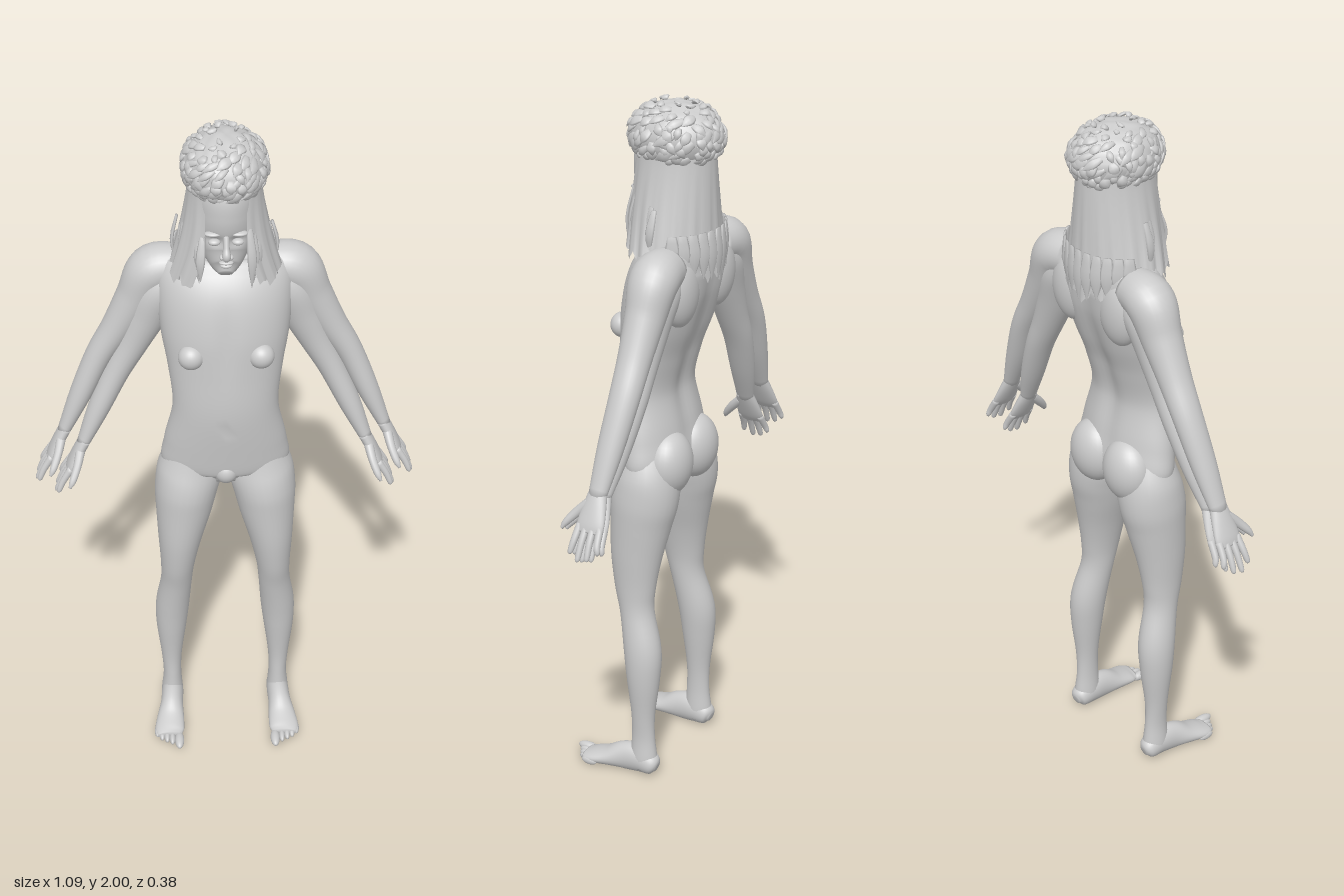
import * as THREE from 'three';
import { mergeGeometries } from 'three/addons/utils/BufferGeometryUtils.js';

const V = (x, y, z) => new THREE.Vector3(x, y, z);
const Z = V(0, 0, 1), Y = V(0, 1, 0);
const skin = new THREE.MeshStandardMaterial({ color: 0xcccccc });
const hairMat = new THREE.MeshStandardMaterial({ color: 0xcccccc, side: THREE.DoubleSide });

let seed = 7;
const rnd = () => (seed = (seed * 16807) % 2147483647) / 2147483647;

// Closed smooth limb. Rows are [x, y, z, radius along the hint axis, radius across it].
function loft(rows, hint = Z, rings = 40, sides = 28) {
  const path = new THREE.CatmullRomCurve3(rows.map(r => V(r[0], r[1], r[2])), false, 'catmullrom');
  const radii = new THREE.CatmullRomCurve3(rows.map(r => V(r[3], r[4], 0)), false, 'catmullrom');
  const pos = [], index = [];
  for (let i = -1; i <= rings + 1; i++) {
    const t = Math.min(1, Math.max(0, i / rings));
    const c = path.getPoint(t), T = path.getTangent(t), r = radii.getPoint(t);
    const v = hint.clone().cross(T).normalize(), u = T.clone().cross(v);
    const k = i < 0 || i > rings ? 0 : 1;
    for (let j = 0; j < sides; j++) {
      const a = j / sides * Math.PI * 2;
      const p = c.clone().addScaledVector(v, Math.cos(a) * r.y * k).addScaledVector(u, Math.sin(a) * r.x * k);
      pos.push(p.x, p.y, p.z);
    }
  }
  for (let i = 0; i < rings + 2; i++) for (let j = 0; j < sides; j++) {
    const a = i * sides + j, b = i * sides + (j + 1) % sides;
    index.push(a, b, a + sides, b, b + sides, a + sides);
  }
  const g = new THREE.BufferGeometry();
  g.setAttribute('position', new THREE.Float32BufferAttribute(pos, 3));
  g.setIndex(index);
  g.computeVertexNormals();
  return g;
}

// Move every vertex by a rule
function reshape(g, rule) {
  const p = g.attributes.position, v = V(0, 0, 0);
  for (let i = 0; i < p.count; i++) {
    rule(v.fromBufferAttribute(p, i));
    p.setXYZ(i, v.x, v.y, v.z);
  }
  g.computeVertexNormals();
  return g;
}

const bump = (d, w) => Math.exp(-d * d / (w * w));

export function createModel() {
  const model = new THREE.Group();
  const add = (name, geo, mat = skin) => {
    const m = new THREE.Mesh(geo, mat);
    m.name = name;
    model.add(m);
    return m;
  };
  const ball = (name, x, y, z, rx, ry, rz) => {
    const m = add(name, new THREE.SphereGeometry(1, 28, 20));
    m.position.set(x, y, z);
    m.scale.set(rx, ry, rz);
    return m;
  };

  // Torso with a spine groove and a chest line
  add('torso', reshape(loft([
    [0, 0.91, -0.02, 0.05, 0.08], [0, 0.96, -0.025, 0.085, 0.175], [0, 1.05, -0.012, 0.088, 0.172],
    [0, 1.18, 0.004, 0.086, 0.147], [0, 1.3, -0.01, 0.097, 0.158], [0, 1.4, -0.03, 0.112, 0.175],
    [0, 1.5, -0.055, 0.115, 0.185], [0, 1.57, -0.08, 0.1, 0.185], [0, 1.61, -0.095, 0.078, 0.155],
    [0, 1.64, -0.095, 0.06, 0.085], [0, 1.67, -0.09, 0.052, 0.058]], Z, 70, 56), v => {
    if (v.z < -0.05) v.z += 0.016 * bump(v.x, 0.035) * bump(v.y - 1.3, 0.3);
    if (v.z > 0) {
      v.z -= 0.007 * bump(v.x, 0.025) * bump(v.y - 1.42, 0.1);
      v.z -= 0.006 * bump(v.x, 0.01) * bump(v.y - 1.13, 0.012);
    }
  }));
  add('neck', loft([[0, 1.55, -0.09, 0.06, 0.075], [0, 1.65, -0.075, 0.055, 0.056], [0, 1.72, -0.06, 0.055, 0.055]]));
  ball('pelvis', 0, 0.965, 0.035, 0.036, 0.04, 0.04);

  for (const s of [1, -1]) {
    const side = s > 0 ? 'left' : 'right';
    ball(side + 'Chest', s * 0.095, 1.37, 0.058, 0.036, 0.036, 0.034);
    ball(side + 'Buttock', s * 0.072, 0.975, -0.075, 0.08, 0.095, 0.065);
    ball(side + 'ShoulderBlade', s * 0.1, 1.5, -0.125, 0.07, 0.1, 0.045);

    // Leg
    add(side + 'Leg', loft([
      [0.09, 1.02, -0.02, 0.065, 0.07], [0.1, 0.94, -0.025, 0.09, 0.092], [0.112, 0.87, -0.02, 0.098, 0.09],
      [0.12, 0.8, -0.013, 0.09, 0.081], [0.132, 0.7, -0.005, 0.077, 0.064], [0.14, 0.6, -0.005, 0.062, 0.05],
      [0.145, 0.52, -0.014, 0.051, 0.046], [0.157, 0.41, -0.038, 0.056, 0.05], [0.162, 0.32, -0.043, 0.05, 0.045],
      [0.163, 0.2, -0.043, 0.036, 0.031], [0.162, 0.12, -0.043, 0.036, 0.027], [0.163, 0.05, -0.045, 0.042, 0.032],
      [0.163, 0.02, -0.045, 0.038, 0.028]].map(([x, ...r]) => [s * x, ...r]), Z, 60));
    ball(side + 'Kneecap', s * 0.144, 0.535, 0.016, 0.028, 0.035, 0.022);

    // Foot, flattened on the ground, and toes
    add(side + 'Foot', reshape(loft([
      [0.162, 0.03, -0.09, 0.014, 0.014], [0.163, 0.035, -0.075, 0.033, 0.03], [0.163, 0.045, -0.03, 0.045, 0.033],
      [0.166, 0.04, 0.02, 0.043, 0.034], [0.171, 0.028, 0.07, 0.028, 0.041], [0.175, 0.02, 0.115, 0.019, 0.044],
      [0.174, 0.018, 0.14, 0.012, 0.036]].map(([x, ...r]) => [s * x, ...r]), Y), v => { v.y = Math.max(v.y, 0); }));
    for (let i = 0; i < 5; i++)
      ball(side + 'Toe' + (i + 1), s * (0.146 + [0, 0.021, 0.037, 0.052, 0.066][i]), 0.014, 0.157 - 0.009 * i - (i > 3 ? 0.006 : 0),
        i ? 0.009 : 0.014, i ? 0.012 : 0.014, i ? 0.025 : 0.034);

    // Two overlapping arms on each side, sharing one shoulder
    const arms = {
      Outer: [[0.12, 1.57, -0.095], [0.195, 1.555, -0.1], [0.24, 1.47, -0.1], [0.295, 1.37, -0.1],
        [0.35, 1.275, -0.1], [0.405, 1.15, -0.09], [0.457, 1.03, -0.08]],
      Inner: [[0.12, 1.55, -0.09], [0.175, 1.5, -0.09], [0.215, 1.41, -0.09], [0.255, 1.32, -0.09],
        [0.3, 1.23, -0.088], [0.355, 1.11, -0.075], [0.403, 1.0, -0.06]],
    };
    const thick = [[0.06, 0.06], [0.068, 0.066], [0.056, 0.056], [0.047, 0.044], [0.043, 0.037], [0.037, 0.031], [0.026, 0.018]];
    for (const [kind, pts] of Object.entries(arms)) {
      const name = side + kind;
      add(name + 'Arm', loft(pts.map(([x, y, z], i) => [s * x, y, z, ...thick[i]])));
      // Points along the hand: distance down, sideways shift, forward shift
      const [wx, wy, wz] = pts[6], d = V(s * 0.45, -0.89, 0), n = V(s * 0.89, 0.45, 0);
      const at = (l, o, f) => V(s * wx, wy, wz).addScaledVector(d, l).addScaledVector(n, o).add(V(0, 0, f));
      const row = (l, o, f, ru, rv) => [...at(l, o, f).toArray(), ru, rv];
      add(name + 'Palm', loft([row(-0.015, 0, 0, 0.026, 0.018), row(0.03, 0, 0, 0.035, 0.017),
        row(0.075, 0, 0, 0.041, 0.014), row(0.1, 0, 0, 0.036, 0.009)], Z, 20));
      for (let i = 0; i < 4; i++) {
        const f = 0.031 - 0.0205 * i, len = [0.165, 0.18, 0.174, 0.152][i];
        add(name + 'Finger' + (i + 1), loft([row(0.08, 0, f, 0.0105, 0.0105), row(0.125, 0.004, f * 1.15, 0.0095, 0.0095),
          row(len - 0.008, 0.002, f * 1.3, 0.0075, 0.0075), row(len, 0, f * 1.3, 0.003, 0.003)], Z, 14, 12));
      }
      add(name + 'Thumb', loft([row(0.015, 0, 0.015, 0.014, 0.014), row(0.05, -0.006, 0.05, 0.0135, 0.012),
        row(0.085, -0.008, 0.078, 0.01, 0.01), row(0.105, -0.008, 0.088, 0.004, 0.004)], Z, 14, 12));
    }

    // Face parts in pairs
    ball(side + 'Eye', s * 0.031, 1.728, 0.05, 0.016, 0.009, 0.012);
    ball(side + 'Brow', s * 0.033, 1.752, 0.047, 0.024, 0.007, 0.014);
    ball(side + 'Nostril', s * 0.011, 1.692, 0.068, 0.008, 0.007, 0.01);
    ball(side + 'Ear', s * 0.084, 1.72, -0.045, 0.008, 0.03, 0.018);
  }

  // Head with eye sockets
  add('head', reshape(loft([
    [0, 1.617, 0.03, 0.016, 0.018], [0, 1.635, 0.01, 0.05, 0.042], [0, 1.67, -0.015, 0.075, 0.064],
    [0, 1.72, -0.035, 0.095, 0.08], [0, 1.79, -0.045, 0.112, 0.086], [0, 1.86, -0.05, 0.108, 0.083],
    [0, 1.92, -0.055, 0.06, 0.05]], Z, 60, 56), v => {
    if (v.z > 0) v.z -= 0.011 * bump(Math.abs(v.x) - 0.032, 0.018) * bump(v.y - 1.728, 0.016);
  }));
  add('nose', loft([[0, 1.748, 0.052, 0.008, 0.008], [0, 1.715, 0.064, 0.012, 0.009],
    [0, 1.696, 0.073, 0.014, 0.012], [0, 1.686, 0.066, 0.006, 0.007]], Z, 20, 16));
  ball('upperLip', 0, 1.668, 0.056, 0.019, 0.005, 0.01);
  ball('lowerLip', 0, 1.658, 0.055, 0.016, 0.006, 0.01);

  // Long hair: an open wavy sheet that leaves the face free
  const rows = 20, cols = 72;
  const curtain = new THREE.PlaneGeometry(1, 1, cols, rows);
  add('longHair', reshape(curtain, v => {
    const q = v.x * 2, t = 0.5 - v.y;
    const a = q * (Math.PI - 0.62 + 0.12 * Math.sin(t * Math.PI)), back = 1 - Math.abs(q);
    const drop = 0.27 + 0.07 * back * back + 0.012 * Math.sin(q * 41) + 0.008 * Math.sin(q * 97);
    const wave = 1 + 0.025 * t * Math.sin(q * 43) + 0.015 * t * Math.sin(q * 71);
    v.set(-Math.sin(a) * (0.097 + 0.056 * Math.pow(t, 1.3)) * wave, 1.86 - drop * t,
      -0.055 - Math.cos(a) * (0.11 + 0.016 * t) * wave);
  }), hairMat);

  // Pointed lock of hair from a to b, flat against the normal
  const lock = (a, b, normal, w, lift) => {
    const m = a.clone().lerp(b, 0.5).addScaledVector(normal, lift);
    return loft([[...a.toArray(), 0.004, w * 0.6], [...m.toArray(), 0.005, w], [...b.toArray(), 0.0005, 0.001]], normal, 6, 8);
  };

  // Loose locks beside the cheeks and along the lower edge
  const strands = [];
  for (const s of [1, -1]) for (let i = 0; i < 9; i++) {
    const k = i / 8, x = s * (0.066 + 0.07 * k), z = 0.04 - 0.1 * k;
    strands.push(lock(V(x * 0.93, 1.76 - 0.04 * rnd(), z), V(x * (0.8 + 0.25 * rnd()), 1.575 + 0.035 * rnd(), z + 0.012),
      V(s * (0.3 + k), 0, 1 - k).normalize(), 0.013, 0.012));
  }
  for (let i = 0; i < 11; i++) {
    const a = (i / 10 - 0.5) * 2.2, n = V(Math.sin(a), 0, -Math.cos(a));
    strands.push(lock(V(n.x * 0.145, 1.66, -0.06 + n.z * 0.123), V(n.x * 0.14, 1.515 + 0.04 * Math.abs(a), -0.06 + n.z * 0.125), n, 0.02, 0.004));
  }
  add('hairLocks', mergeGeometries(strands), hairMat);

  // Short shaggy cap of hair on the crown
  const C = V(0, 1.9, -0.055), R = V(0.108, 0.09, 0.128);
  add('hairCap', reshape(new THREE.SphereGeometry(1, 48, 32), v => {
    const k = 1 + 0.02 * Math.sin(v.x * 13 + v.y * 7) * Math.sin(v.z * 11 + v.y * 5);
    v.multiply(R).multiplyScalar(k).add(C);
  }), hairMat);
  const tufts = [];
  for (let i = 0; i < 190; i++) {
    const h = 1 - 1.7 * (i + 0.5) / 190, a = i * 2.39996, r = Math.sqrt(1 - h * h);
    const n = V(r * Math.cos(a), h, r * Math.sin(a));
    const turn = V(-n.z, 0, n.x).multiplyScalar((rnd() - 0.3) * 0.8);
    const m = n.clone().add(turn).add(V(0, -0.38 * r, 0)).normalize();
    const p = n.clone().multiply(R).add(C), q = m.multiply(R).multiplyScalar(1.0 + 0.09 * rnd()).add(C);
    if (p.distanceTo(q) > 0.01) tufts.push(lock(p, q, n, 0.009 + 0.007 * rnd(), 0.006));
  }
  add('hairTufts', mergeGeometries(tufts), hairMat);

  return model;
}
